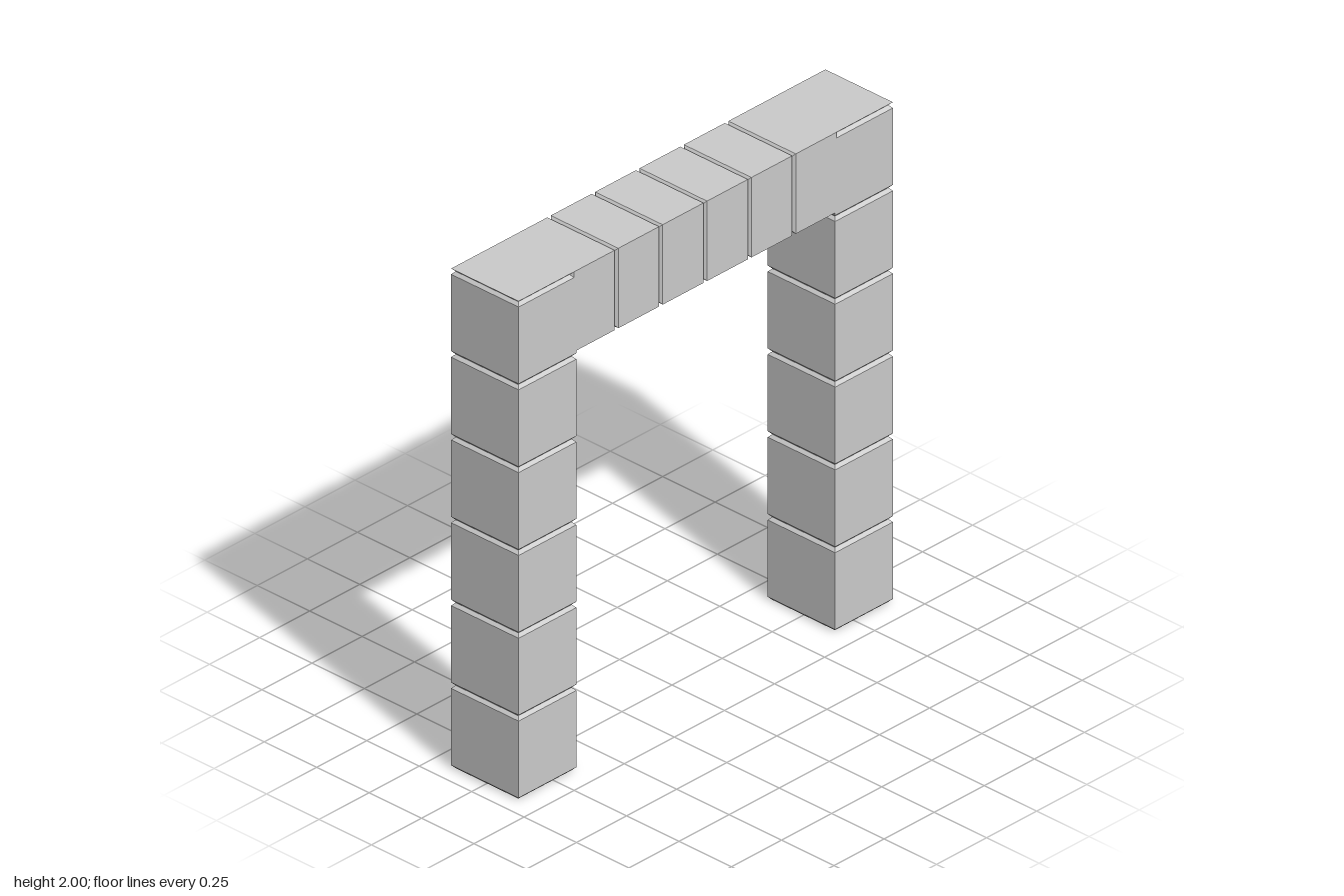
import * as THREE from 'three';

const material = new THREE.MeshStandardMaterial({ color: 0xcccccc, flatShading: true });
const HALF_DEPTH = 0.161;

// Square block along y with bevelled ends, from a four-sided lathe
function bevelledBlock(name, halfX, length, halfZ, bevel = 0.012) {
  const R = Math.SQRT2, inner = R * 0.925;
  const profile = [[0, 0], [inner, 0], [R, bevel], [R, length - bevel], [inner, length], [0, length]]
    .map(([x, y]) => new THREE.Vector2(x, y));
  const geometry = new THREE.LatheGeometry(profile, 4, Math.PI / 4).scale(halfX, 1, halfZ);
  const mesh = new THREE.Mesh(geometry, material);
  mesh.name = name;
  return mesh;
}

// Flaring lip closing the top of a pillar
function pillarCap(halfX, height) {
  const R = Math.SQRT2;
  const profile = [[0, 0], [R * 0.925, 0], [R, height], [0, height]]
    .map(([x, y]) => new THREE.Vector2(x, y));
  const geometry = new THREE.LatheGeometry(profile, 4, Math.PI / 4).scale(halfX, 1, HALF_DEPTH);
  const mesh = new THREE.Mesh(geometry, material);
  mesh.name = 'pillarCap';
  return mesh;
}

export function createModel() {
  const model = new THREE.Group();
  model.name = 'stoneGateway';

  // Two pillars of six stacked blocks
  const halfX = 0.144, pitch = 0.3315;
  for (const side of [-1, 1]) {
    const pillar = new THREE.Group();
    pillar.name = side > 0 ? 'leftPillar' : 'rightPillar';
    for (let i = 0; i < 6; i++) {
      const block = bevelledBlock('pillarBlock', halfX, pitch, HALF_DEPTH);
      block.position.y = i * pitch;
      pillar.add(block);
    }
    const cap = pillarCap(halfX, 2 - 6 * pitch);
    cap.position.y = 6 * pitch;
    pillar.add(cap);
    pillar.position.x = side * 0.79;
    model.add(pillar);
  }

  // Lintel of six blocks laid between the pillars
  const lintel = new THREE.Group();
  lintel.name = 'lintel';
  const step = 0.2215;
  for (let i = 0; i < 6; i++) {
    const block = bevelledBlock('lintelBlock', 0.16, step, HALF_DEPTH, 0.009);
    block.rotation.z = -Math.PI / 2;
    block.position.set(-0.667 + i * step, 1.84, 0);
    lintel.add(block);
  }
  model.add(lintel);
  return model;
}
